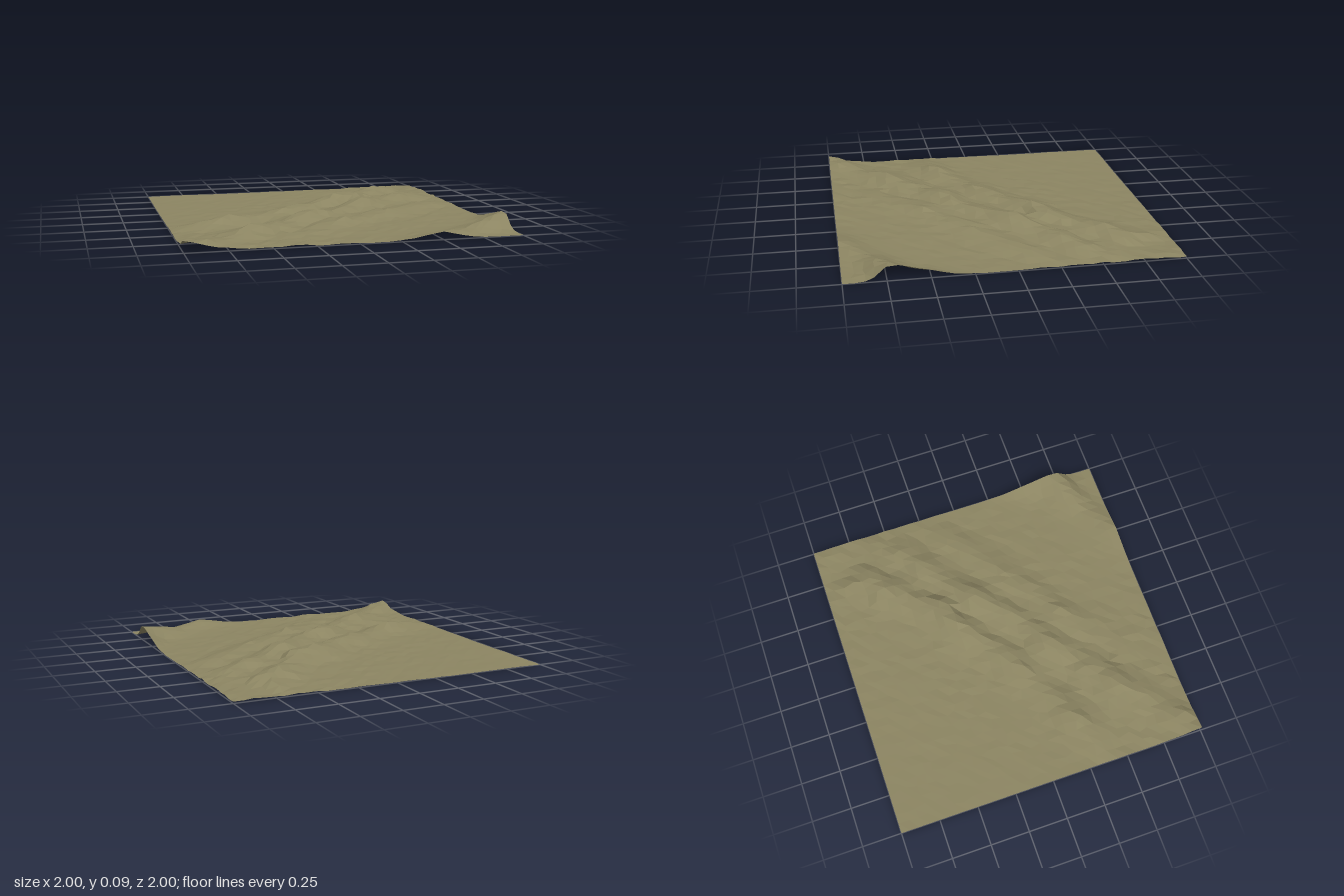
import * as THREE from 'three';

const SEGMENTS = 32;

// Diagonal ridges, each a crest line of [x, z, height] from front left to back right
const RIDGES = [
  [[-1.0, 0.4, 0], [-0.82, 0.36, 0.03], [-0.64, 0.27, 0.068], [-0.5, 0.2, 0.04], [-0.36, 0.12, 0.04],
    [-0.17, 0.02, 0.062], [0.03, -0.12, 0.05], [0.19, -0.26, 0.088], [0.31, -0.29, 0.09],
    [0.46, -0.47, 0.05], [0.6, -0.63, 0.07], [0.72, -0.7, 0.05], [0.7, -0.95, 0]],
  [[-1.0, 1.0, 0.055], [-0.88, 0.93, 0.055], [-0.75, 0.8, 0.022], [-0.54, 0.62, 0.066], [-0.4, 0.52, 0.045],
    [-0.28, 0.42, 0.035], [-0.12, 0.28, 0.08], [0.05, 0.2, 0.045], [0.22, 0.03, 0.06], [0.35, -0.08, 0.09],
    [0.5, -0.2, 0.045], [0.66, -0.33, 0.058], [0.82, -0.42, 0.035], [0.95, -0.7, 0]],
  [[-0.4, 0.85, 0], [-0.12, 0.6, 0.02], [0.06, 0.43, 0.05], [0.2, 0.35, 0.03], [0.42, 0.18, 0.04],
    [0.62, 0.05, 0.03], [0.8, -0.1, 0.025], [1.0, -0.2, 0]],
  [[0.25, 1.1, 0], [0.5, 0.99, 0.05], [0.72, 0.86, 0.035], [0.9, 0.78, 0.085], [1.0, 0.73, 0.105],
    [1.06, 0.55, 0.075], [1.1, 0.4, 0.02], [1.1, 0.2, 0]],
];

// Repeatable value in -1..1 for a grid point
function noise(i, j) {
  const v = Math.sin(i * 127.1 + j * 311.7) * 43758.5453;
  return (v - Math.floor(v)) * 2 - 1;
}

// Height of one ridge: gentle slope towards the back left, steep towards the front right
function ridgeHeight(ridge, x, z) {
  const along = (x - z) * Math.SQRT1_2;
  const across = (x + z) * Math.SQRT1_2;
  for (let k = 0; k < ridge.length - 1; k++) {
    const [ax, az, ah] = ridge[k];
    const [bx, bz, bh] = ridge[k + 1];
    const a = (ax - az) * Math.SQRT1_2;
    const b = (bx - bz) * Math.SQRT1_2;
    if (along < a || along > b) continue;
    const f = (along - a) / (b - a);
    const crest = THREE.MathUtils.lerp(ax + az, bx + bz, f) * Math.SQRT1_2;
    const d = across - crest;
    return THREE.MathUtils.lerp(ah, bh, f) * Math.exp(-((d / (d < 0 ? 0.12 : 0.08)) ** 2));
  }
  return 0;
}

function terrainHeight(x, z, i, j) {
  const sum = RIDGES.reduce((s, r) => s + ridgeHeight(r, x, z) ** 2, 0);
  const band = Math.exp(-(((x + z - 0.15) / 0.75) ** 2));
  return 0.006 + 0.012 * band + 0.92 * Math.sqrt(sum) + (0.0015 + 0.005 * band) * noise(i, j);
}

export function createModel() {
  const group = new THREE.Group();
  group.name = 'landscape';

  // Grid sheet, slightly jittered inside, raised into ridges
  const geometry = new THREE.PlaneGeometry(2, 2, SEGMENTS, SEGMENTS).rotateX(-Math.PI / 2);
  const pos = geometry.attributes.position;
  for (let n = 0; n < pos.count; n++) {
    const i = n % (SEGMENTS + 1);
    const j = Math.floor(n / (SEGMENTS + 1));
    let x = pos.getX(n);
    let z = pos.getZ(n);
    if (i > 0 && i < SEGMENTS) x += 0.013 * noise(i + 50, j);
    if (j > 0 && j < SEGMENTS) z += 0.013 * noise(i, j + 50);
    pos.setXYZ(n, x, terrainHeight(x, z, i, j), z);
  }

  // Rest the lowest point on the ground
  geometry.computeBoundingBox();
  geometry.translate(0, -geometry.boundingBox.min.y, 0);
  geometry.computeVertexNormals();

  const terrain = new THREE.Mesh(geometry, new THREE.MeshStandardMaterial({
    color: 0x8c8562, flatShading: true, side: THREE.DoubleSide,
  }));
  terrain.name = 'terrain';
  group.add(terrain);
  return group;
}
